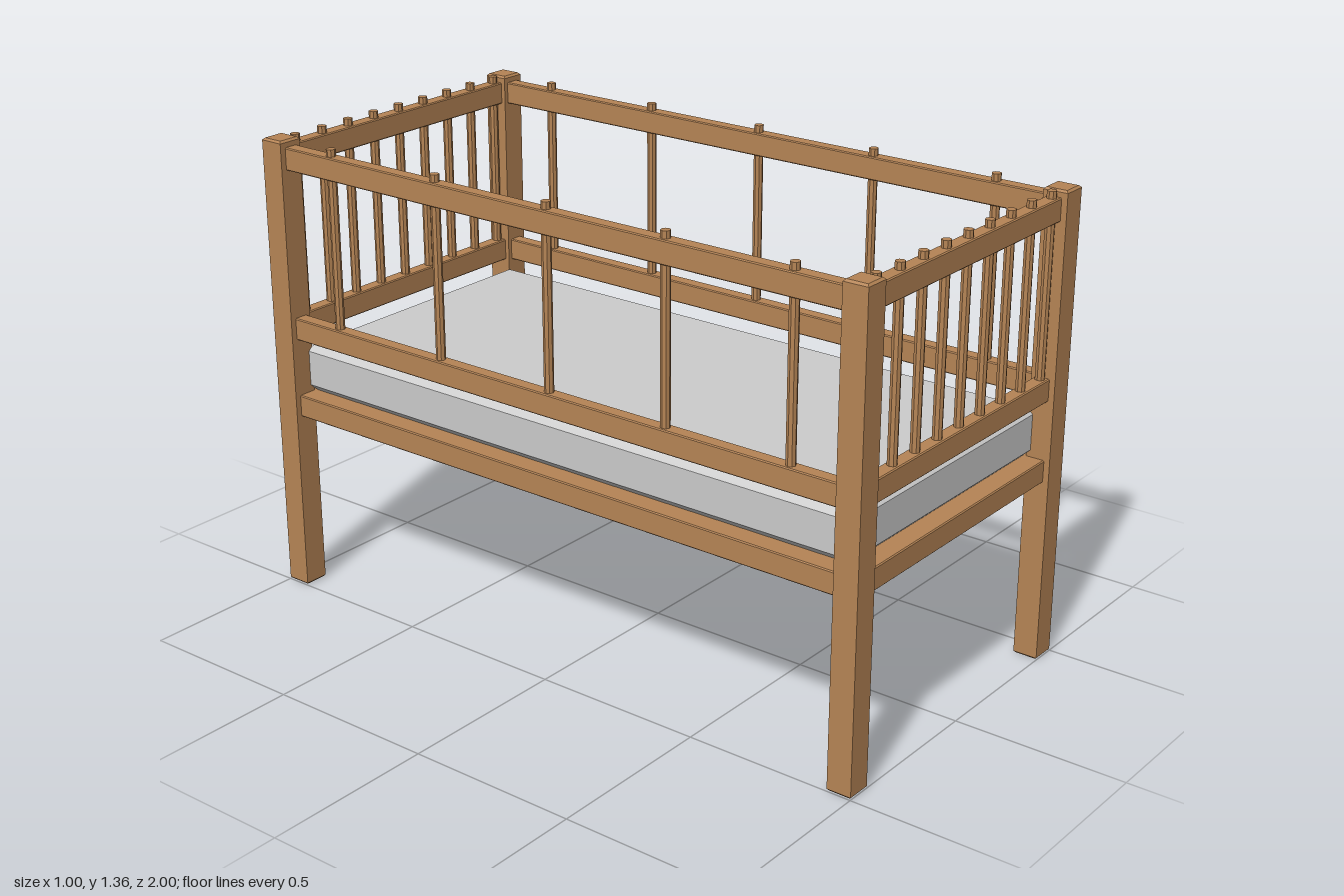
import * as THREE from 'three';

const wood = new THREE.MeshStandardMaterial({ color: 0xb58455, flatShading: true });
const grey = new THREE.MeshStandardMaterial({ color: 0xcccccc, flatShading: true });

// Box with every edge chamfered by c, centred on the origin
function chamferBox(w, h, d, c) {
  const x = w / 2 - c, z = d / 2 - c;
  const shape = new THREE.Shape([
    new THREE.Vector2(-x, -z), new THREE.Vector2(x, -z),
    new THREE.Vector2(x, z), new THREE.Vector2(-x, z),
  ]);
  const geo = new THREE.ExtrudeGeometry(shape, {
    depth: h - 2 * c, bevelEnabled: true, bevelThickness: c, bevelSize: c, bevelSegments: 1,
  });
  return geo.translate(0, 0, c - h / 2).rotateX(-Math.PI / 2);
}

export function createModel() {
  const crib = new THREE.Group();
  crib.name = 'crib';

  const add = (name, geo, mat, x, y, z) => {
    const mesh = new THREE.Mesh(geo, mat);
    mesh.name = name;
    mesh.position.set(x, y, z);
    crib.add(mesh);
  };

  const postX = 0.462, postZ = 0.964, height = 1.355;
  const railX = 0.46, railZ = 0.962, railH = 0.065, railT = 0.042;

  // Corner posts
  const post = chamferBox(0.073, height, 0.072, 0.006);
  for (const sx of [-1, 1])
    for (const sz of [-1, 1]) add('cornerPost', post, wood, sx * postX, height / 2, sz * postZ);

  // Base board and mattress
  add('baseBoard', chamferBox(2 * railX + railT, railH, 2 * railZ + railT, 0.003), wood, 0, 0.567, 0);
  add('mattress', chamferBox(0.876, 0.143, 1.88, 0.02), grey, 0, 0.671, 0);

  // Lower and upper rails on all four sides
  const sideRail = chamferBox(railT, railH, 2 * postZ - 0.06, 0.003);
  const endRail = chamferBox(2 * postX - 0.06, railH, railT, 0.003);
  for (const y of [0.802, 1.302])
    for (const s of [-1, 1]) {
      add('sideRail', sideRail, wood, s * railX, y, 0);
      add('endRail', endRail, wood, 0, y, s * railZ);
    }

  // Spindles, poking out above the upper rails
  const bottom = 0.79;
  const spindle = new THREE.CylinderGeometry(0.0135, 0.0135, height - bottom, 8);
  const y = (height + bottom) / 2;
  for (const s of [-1, 1]) {
    for (let i = -4; i <= 4; i++) add('endSpindle', spindle, wood, i * 0.1025, y, s * railZ);
    for (let i = -2; i <= 2; i++) add('sideSpindle', spindle, wood, s * railX, y, i * 0.385);
  }

  return crib;
}
